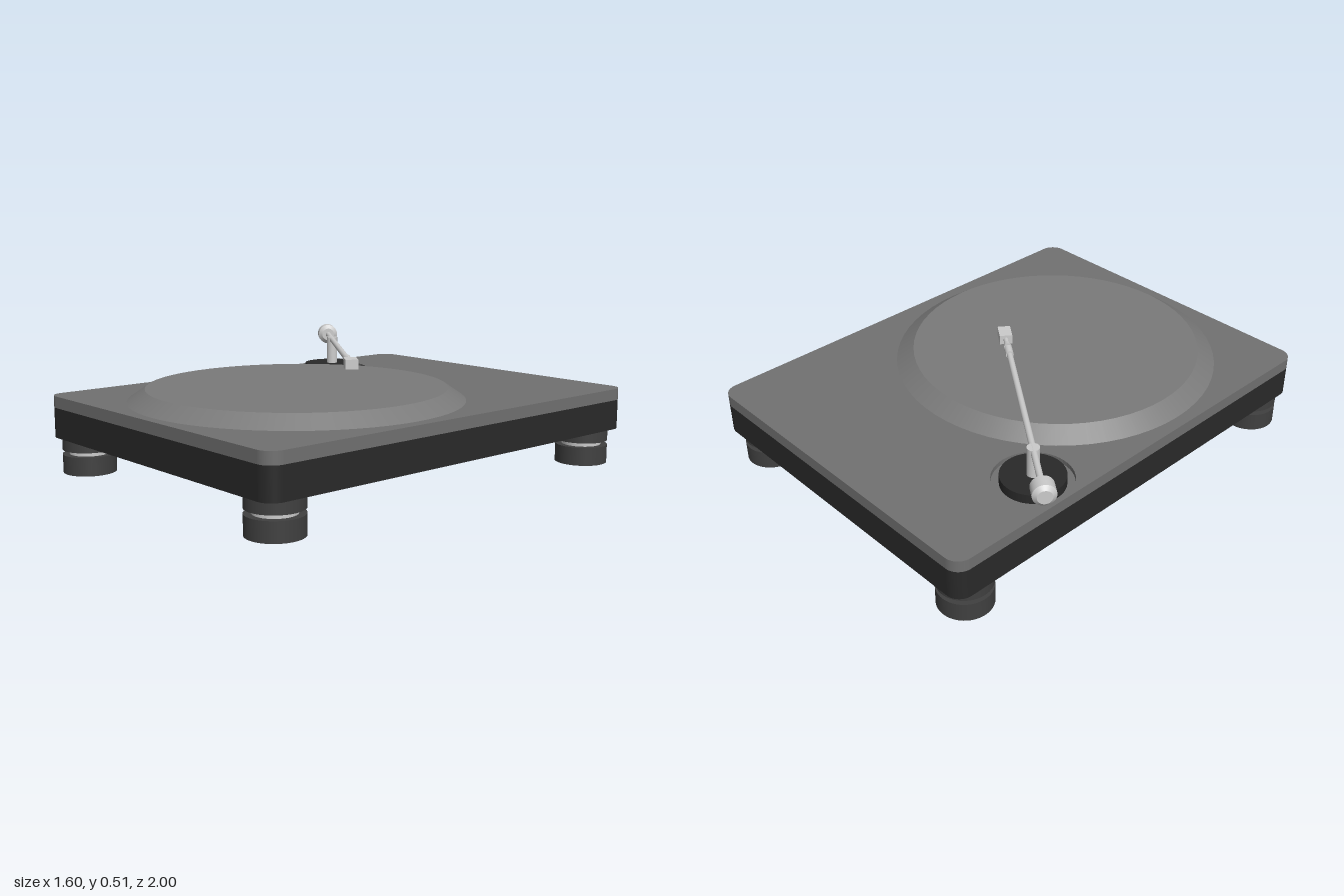
import * as THREE from 'three';

const mat = (color) => new THREE.MeshStandardMaterial({ color });
const light = mat(0xcccccc), grey = mat(0x717171), platterGrey = mat(0x7a7a7a);
const dark = mat(0x292929), footDark = mat(0x404040);
const CX = 0.036; // middle of the plinth

function add(parent, name, geometry, material, x = 0, y = 0, z = 0) {
  const mesh = new THREE.Mesh(geometry, material);
  mesh.name = name;
  mesh.position.set(x, y, z);
  parent.add(mesh);
  return mesh;
}

// Cylinder between two heights
function disc(parent, name, r, y0, y1, material, x = 0, z = 0, rTop = r) {
  return add(parent, name, new THREE.CylinderGeometry(rTop, r, y1 - y0, 64), material, x, (y0 + y1) / 2, z);
}

// Rod along the local x axis
function rod(parent, name, r0, r1, x0, x1) {
  const g = new THREE.CylinderGeometry(r1, r0, x1 - x0, 24).rotateZ(-Math.PI / 2);
  return add(parent, name, g, light, (x0 + x1) / 2);
}

// Rounded rectangle in plan
function plan(w, d, r) {
  const s = new THREE.Shape(), a = w / 2, b = d / 2, q = Math.PI / 2;
  s.absarc(a - r, b - r, r, 0, q);
  s.absarc(-a + r, b - r, r, q, 2 * q);
  s.absarc(-a + r, -b + r, r, 2 * q, 3 * q);
  s.absarc(a - r, -b + r, r, 3 * q, 4 * q);
  s.closePath();
  return s;
}

function slab(shape, height) {
  return new THREE.ExtrudeGeometry(shape, { depth: height, bevelEnabled: false, curveSegments: 24 })
    .rotateX(-Math.PI / 2);
}

export function createModel() {
  const model = new THREE.Group();
  model.name = 'turntable';
  const px = -0.55, pz = -0.46; // tonearm pivot

  // Plinth: dark base and grey top plate with a round recess
  add(model, 'plinthBase', slab(plan(1.52, 2, 0.065), 0.13), dark, CX, 0.15);
  const top = plan(1.52, 2, 0.065);
  top.holes.push(new THREE.Path().absarc(px - CX, -pz, 0.165, 0, Math.PI * 2, true));
  add(model, 'topPlate', slab(top, 0.05), grey, CX, 0.28);
  disc(model, 'recessFloor', 0.165, 0.28, 0.31, grey, px, pz);

  // Platter with a sloping rim
  disc(model, 'platter', 0.715, 0.325, 0.382, platterGrey, CX, 0.25, 0.632);

  // Feet
  for (const x of [-0.602, 0.676]) {
    for (const z of [-0.863, 0.88]) {
      const foot = new THREE.Group();
      foot.name = 'foot';
      foot.position.set(x, 0, z);
      disc(foot, 'footPad', 0.113, 0, 0.08, footDark);
      disc(foot, 'footNeck', 0.085, 0.08, 0.1, light);
      disc(foot, 'footCollar', 0.113, 0.1, 0.15, footDark);
      model.add(foot);
    }
  }

  // Tonearm base and post
  disc(model, 'armBase', 0.132, 0.31, 0.35, dark, px, pz);
  disc(model, 'armPost', 0.026, 0.35, 0.477, light, px, pz);

  // Tonearm, built along x and turned over the platter
  const arm = new THREE.Group();
  arm.name = 'tonearm';
  arm.position.set(px, 0.465, pz);
  arm.rotation.y = -0.626;
  rod(arm, 'armTube', 0.013, 0.013, -0.23, 0.69);
  rod(arm, 'armCollar', 0.017, 0.017, 0.68, 0.735);
  rod(arm, 'armNeck', 0.011, 0.011, 0.73, 0.75);
  rod(arm, 'headCollar', 0.017, 0.013, 0.745, 0.775);
  rod(arm, 'headPin', 0.011, 0.011, 0.77, 0.81);
  add(arm, 'headshell', new THREE.BoxGeometry(0.08, 0.042, 0.055), light, 0.845);

  // Counterweight with chamfered ends
  const profile = [[0, -0.042], [0.03, -0.042], [0.047, -0.028], [0.047, 0.028], [0.03, 0.042], [0, 0.042]];
  for (let i = 0; i < profile.length - 1; i++) {
    const pts = [profile[i], profile[i + 1]].map(([r, y]) => new THREE.Vector2(r, y));
    add(arm, 'counterweight', new THREE.LatheGeometry(pts, 32).rotateZ(-Math.PI / 2), light, -0.247);
  }
  model.add(arm);
  return model;
}
